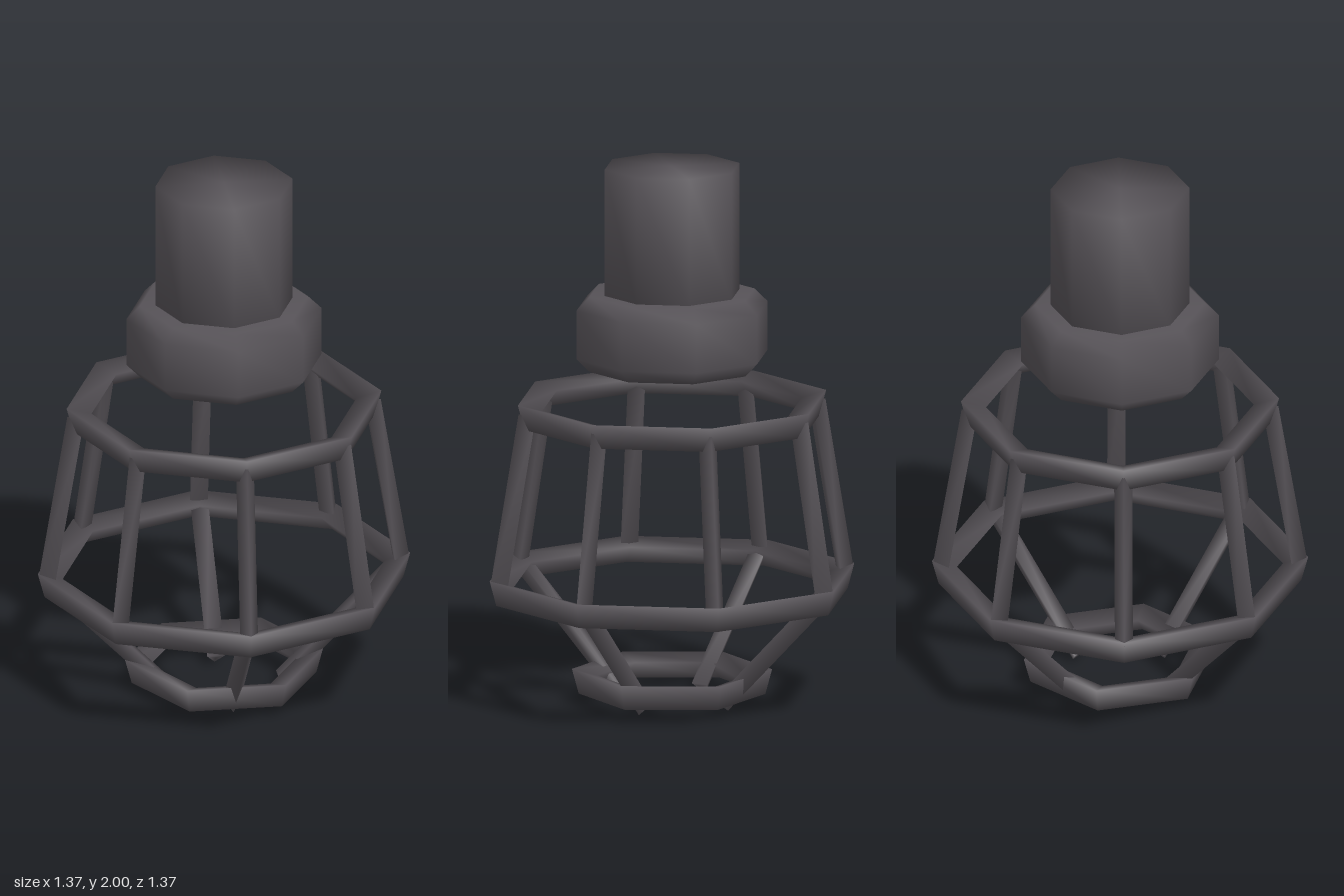
import * as THREE from 'three';
import { mergeVertices } from 'three/addons/utils/BufferGeometryUtils.js';

// Weld all corners so the low-poly parts shade smoothly.
function soften(geometry) {
  geometry.deleteAttribute('uv');
  geometry.deleteAttribute('normal');
  const welded = mergeVertices(geometry, 1e-4);
  welded.computeVertexNormals();
  return welded;
}

export function createModel() {
  const model = new THREE.Group();
  const darkMetal = new THREE.MeshStandardMaterial({ color: 0x565257 });
  darkMetal.name = 'darkMetal';

  function add(name, geometry, parent = model) {
    const mesh = new THREE.Mesh(soften(geometry), darkMetal);
    mesh.name = name;
    parent.add(mesh);
    return mesh;
  }

  // Solid of revolution from [radius, y] pairs, listed bottom to top
  function turned(name, profile, sides, start = 0) {
    const points = profile.map(([r, y]) => new THREE.Vector2(r, y));
    return add(name, new THREE.LatheGeometry(points, sides, start));
  }

  // Socket: upright post and chamfered collar
  turned('post', [[0, 1.52], [0.253, 1.52], [0.253, 2], [0, 2]], 8);
  turned('collar', [[0, 1.25], [0.31, 1.25], [0.36, 1.3], [0.36, 1.48], [0.31, 1.53], [0, 1.53]], 8);

  // Cage rings: polygons with a three-sided bar section
  function ring(name, radius, y, sides, start) {
    const profile = [45, 165, 285, 405].map((deg) => {
      const a = THREE.MathUtils.degToRad(deg);
      return [radius + 0.055 * Math.cos(a), y + 0.055 * Math.sin(a)];
    });
    turned(name, profile, sides, start);
  }
  ring('upperRing', 0.541, 1.1, 8, 0);
  ring('middleRing', 0.647, 0.451, 8, 0);
  ring('lowerRing', 0.326, 0.091, 6, Math.PI / 2);

  // Evenly spaced cage bars from [radius, y] to [radius, y], ridge outward
  function bars(name, count, [r0, y0], [r1, y1]) {
    for (let i = 0; i < count; i++) {
      const spoke = new THREE.Group();
      spoke.name = name;
      spoke.rotation.y = (i / count) * Math.PI * 2;
      const length = Math.hypot(r1 - r0, y1 - y0);
      const bar = add(name + 'Rod',
        new THREE.CylinderGeometry(0.038, 0.038, length, 3, 1, false, Math.PI / 2), spoke);
      bar.position.set((r0 + r1) / 2, (y0 + y1) / 2, 0);
      bar.rotation.z = -Math.atan2(r1 - r0, y1 - y0);
      model.add(spoke);
    }
  }
  bars('upperBar', 8, [0.645, 0.47], [0.54, 1.1]);
  bars('lowerBar', 4, [0.21, 0.026], [0.625, 0.45]);

  return model;
}
